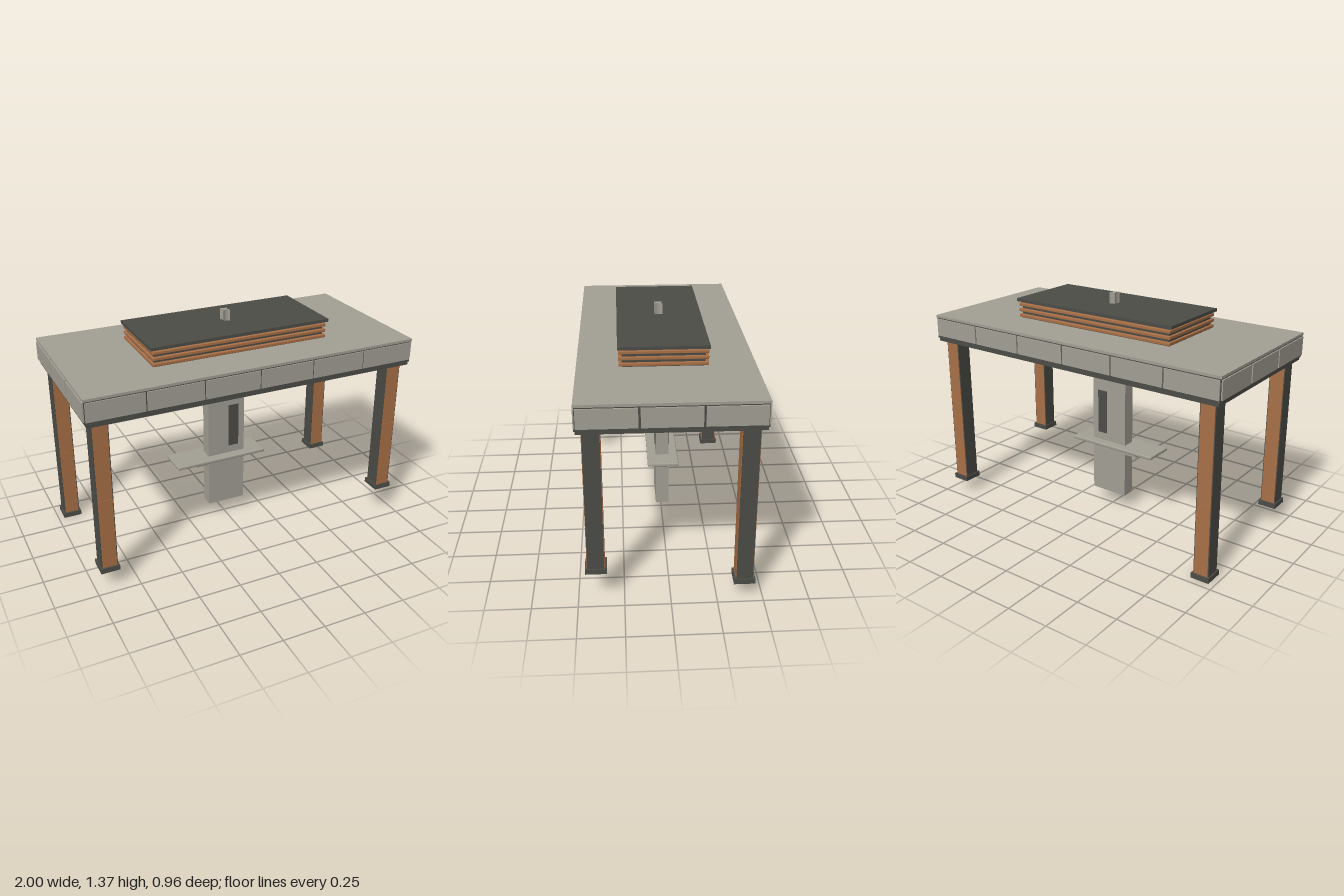
import * as THREE from 'three';
import { RoundedBoxGeometry } from 'three/addons/geometries/RoundedBoxGeometry.js';

const mat = (name, color) => {
  const m = new THREE.MeshStandardMaterial({ color });
  m.name = name;
  return m;
};

export function createModel() {
  const stone = mat('warm grey', 0xa29f94);
  const dark = mat('charcoal', 0x4c4c47);
  const copper = mat('copper brown', 0xa87047);
  const root = new THREE.Group();
  root.name = 'table';

  // Box given by its limits on each axis; r rounds the edges
  function box(name, material, [x0, x1], [y0, y1], [z0, z1], r = 0, parent = root) {
    const s = [x1 - x0, y1 - y0, z1 - z0];
    const geo = r ? new RoundedBoxGeometry(...s, 2, r) : new THREE.BoxGeometry(...s);
    const mesh = new THREE.Mesh(geo, material);
    mesh.position.set((x0 + x1) / 2, (y0 + y1) / 2, (z0 + z1) / 2);
    mesh.name = name;
    parent.add(mesh);
    return mesh;
  }

  // Table body: stepped underside, dark core, pale top
  box('underside', dark, [-0.985, 0.985], [1.025, 1.045], [-0.474, 0.474]);
  box('lowerRim', dark, [-0.992, 0.992], [1.045, 1.057], [-0.479, 0.479]);
  box('core', dark, [-0.992, 0.992], [1.057, 1.173], [-0.475, 0.475]);
  box('tableTop', stone, [-0.996, 0.996], [1.173, 1.188], [-0.48, 0.48]);

  // Cladding panels separated by dark joints: six along, three across
  const panels = new THREE.Group();
  panels.name = 'sidePanels';
  root.add(panels);
  for (const s of [-1, 1]) {
    for (let i = 0; i < 6; i++) {
      const c = -0.827 + i * 0.3308;
      const z = [0.474 * s, 0.482 * s].sort((a, b) => a - b);
      box('longPanel', stone, [c - 0.161, c + 0.161], [1.059, 1.166], z, 0, panels);
    }
    for (let i = -1; i <= 1; i++) {
      const c = i * 0.318;
      const x = [0.991 * s, 1.0 * s].sort((a, b) => a - b);
      box('endPanel', stone, x, [1.059, 1.166], [c - 0.153, c + 0.153], 0, panels);
    }
  }

  // Legs of four lengths, faced with copper front and back: [x, z, bottom]
  const legs = [[-0.91, -0.4, 0], [-0.91, 0.4, 0.105], [0.905, -0.4, 0.084], [0.905, 0.4, 0.18]];
  for (const [x, z, y] of legs) {
    const leg = new THREE.Group();
    leg.name = 'leg';
    root.add(leg);
    box('post', dark, [x - 0.047, x + 0.047], [y, 1.03], [z - 0.045, z + 0.045], 0, leg);
    for (const s of [-1, 1]) {
      const f = z + s * 0.046;
      for (const [a, b] of [[y + 0.03, y + 0.46], [y + 0.462, 1.026]]) {
        box('facing', copper, [x - 0.042, x + 0.042], [a, b], [f - 0.002, f + 0.002], 0, leg);
      }
    }
    box('foot', dark, [x - 0.055, x + 0.055], [y, y + 0.03], [z - 0.058, z + 0.058], 0, leg);
  }

  // Hanging slab with dark inset, shelf and bracket
  box('hangingSlab', stone, [-0.12, 0.12], [0.098, 1.03], [-0.039, 0.039]);
  box('slabInset', dark, [0.015, 0.08], [0.49, 0.765], [-0.043, 0.043]);
  box('shelf', stone, [-0.345, 0.24], [0.42, 0.441], [-0.093, 0.093], 0.007);
  box('bracket', stone, [-0.2, 0.1], [0.38, 0.422], [-0.0385, 0.0385]);

  // Ribbed box on the table
  const zc = 0.015;
  box('ribCore', dark, [-0.525, 0.525], [1.188, 1.291], [zc - 0.222, zc + 0.222]);
  for (let i = 0; i < 3; i++) {
    const y = 1.194 + i * 0.034;
    box('rib', copper, [-0.538, 0.538], [y, y + 0.019], [zc - 0.24, zc + 0.24], 0.004);
  }
  box('lid', dark, [-0.55, 0.55], [1.29, 1.308], [zc - 0.245, zc + 0.245]);

  // Knob with four hollow sides
  const w = 0.02, d = 0.023, k = 0.004;
  const outline = new THREE.Shape();
  outline.moveTo(-w, -d);
  outline.quadraticCurveTo(0, -k * 2, w, -d);
  outline.quadraticCurveTo(k, 0, w, d);
  outline.quadraticCurveTo(0, k * 2, -w, d);
  outline.quadraticCurveTo(-k, 0, -w, -d);
  const knobGeo = new THREE.ExtrudeGeometry(outline, { depth: 0.067, bevelEnabled: false, curveSegments: 6 });
  knobGeo.rotateX(-Math.PI / 2);
  const knob = new THREE.Mesh(knobGeo, stone);
  knob.position.set(0, 1.307, zc + 0.002);
  knob.name = 'knob';
  root.add(knob);

  return root;
}
